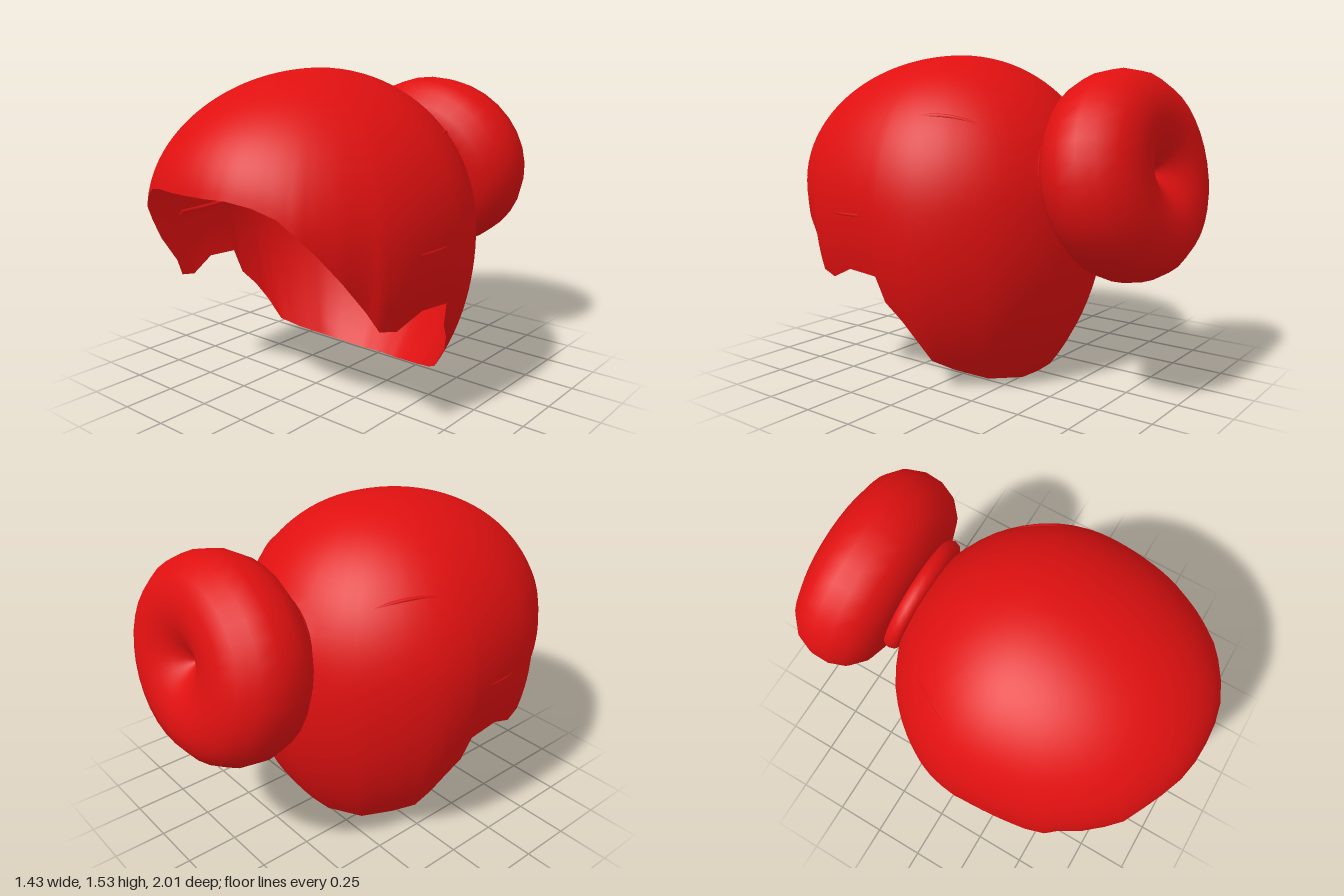
import * as THREE from 'three';

const V = (x, y, z) => new THREE.Vector3(x, y, z);
const center = V(0, 0.85, 0.2);
const UP = V(0, 1, 0);

// Half of the hem, from the middle of the fringe round the left side to the nape
const hemHalf = [
  [0, 1.06, 1.0], [0.1, 1.06, 0.995], [0.2, 1.06, 0.975], [0.3, 1.04, 0.935], [0.39, 1.0, 0.89],
  [0.46, 0.93, 0.85], [0.51, 0.85, 0.79], [0.56, 0.74, 0.71], [0.59, 0.6, 0.6], [0.62, 0.51, 0.55],
  [0.64, 0.49, 0.46], [0.67, 0.55, 0.32], [0.68, 0.54, 0.15], [0.65, 0.42, 0.12],
  [0.62, 0.34, 0.05], [0.58, 0.25, 0.0], [0.51, 0.14, -0.03], [0.43, 0.09, -0.1],
  [0.31, 0.035, -0.2], [0.12, 0.0, -0.26], [0, 0, -0.27],
].map(p => V(...p));

// Distance from the centre to the skull form in a direction
function skullRadius(d) {
  return 1 / Math.hypot(d.x / 0.708, d.y / (d.y > 0 ? 0.68 : 0.85), d.z / (d.z > 0 ? 0.89 : 0.692));
}

function onSkull(p, lift) {
  const d = p.clone().sub(center).normalize();
  return d.multiplyScalar(skullRadius(d) * lift).add(center);
}

// Closed hem: subdivided half plus its mirror image
function hemLoop(sub) {
  const half = [];
  for (let i = 0; i < hemHalf.length - 1; i++)
    for (let k = 0; k < sub; k++) half.push(hemHalf[i].clone().lerp(hemHalf[i + 1], k / sub));
  half.push(hemHalf[hemHalf.length - 1]);
  const mirror = half.slice(1, -1).reverse().map(p => V(-p.x, p.y, p.z));
  return half.concat(mirror);
}

// Cap of hair: arcs from the crown down to every hem point
function capGeometry() {
  const hem = hemLoop(3), cols = hem.length, rows = 36;
  const pts = [V(0, center.y + 0.68, center.z)];
  for (let i = 1; i <= rows; i++) {
    const t = i / rows;
    for (const h of hem) {
      const end = h.clone().sub(center), len = end.length();
      end.normalize();
      const axis = UP.clone().cross(end).normalize();
      const d = UP.clone().applyAxisAngle(axis, UP.angleTo(end) * t);
      // the fringe turns under more sharply than the nape
      const turn = 3.5 + 3 * Math.max(0, end.z);
      const fit = 1 + (len / skullRadius(end) - 1) * t ** turn;
      pts.push(d.multiplyScalar(skullRadius(d) * fit).add(center));
    }
  }

  // round opening where the hair gathers into the bun
  const hole = 0.2, holeY = 0.96;
  const inHole = pts.map(p => {
    const r = Math.hypot(p.x, p.y - holeY);
    if (p.z > -0.3 || r > hole) return false;
    if (r > 0) {
      p.x *= hole / r;
      p.y = holeY + (p.y - holeY) * hole / r;
    }
    return true;
  });

  const id = (i, j) => (i === 0 ? 0 : 1 + (i - 1) * cols + (j % cols));
  const index = [];
  for (let i = 0; i < rows; i++)
    for (let j = 0; j < cols; j++) {
      const a = id(i, j), b = id(i + 1, j), c = id(i + 1, j + 1), d = id(i, j + 1);
      if (inHole[a] && inHole[b] && inHole[c] && inHole[d]) continue;
      if (i > 0) index.push(a, b, d);
      index.push(b, c, d);
    }
  const g = new THREE.BufferGeometry().setFromPoints(pts);
  g.setIndex(index);
  g.computeVertexNormals();
  return g;
}

export function createModel() {
  const group = new THREE.Group();
  const red = new THREE.MeshStandardMaterial({ color: 0xe01010, side: THREE.DoubleSide });
  red.name = 'hairRed';
  const add = (name, geometry) => {
    const m = new THREE.Mesh(geometry, red);
    m.name = name;
    group.add(m);
    return m;
  };

  add('hairCap', capGeometry());

  // Fine raised strands swept back toward the bun
  const strands = [
    [[0.6, 0.82, 0.5], [0.68, 0.81, 0.3], [0.7, 0.83, 0.0]],
    [[0.7, 0.9, 0.12], [0.62, 0.94, -0.12], [0.45, 0.95, -0.36]],
    [[0.6, 1.27, 0.05], [0.5, 1.26, -0.12], [0.38, 1.2, -0.3]],
  ];
  for (const side of [1, -1])
    for (const strand of strands) {
      const path = new THREE.CatmullRomCurve3(strand.map(p => V(p[0] * side, p[1], p[2])));
      const pts = path.getPoints(16).map((p, i) => onSkull(p, 0.985 + 0.014 * Math.sin(Math.PI * i / 16)));
      add(side > 0 ? 'leftStrand' : 'rightStrand',
        new THREE.TubeGeometry(new THREE.CatmullRomCurve3(pts), 24, 0.01, 6));
    }

  // Tie round the base of the bun
  const tie = add('hairTie', new THREE.TorusGeometry(0.26, 0.045, 10, 32));
  tie.position.set(0.01, 0.955, -0.495);
  tie.rotation.x = 0.21;
  tie.scale.y = 0.93;

  // Bun: a cushion dimpled to a point on both faces
  const rim = [[0, 0.1], [0.04, 0.13], [0.1, 0.172], [0.18, 0.207], [0.26, 0.22], [0.34, 0.215],
    [0.42, 0.187], [0.488, 0.125], [0.52, 0.045]];
  const profile = rim.map(([r, h]) => new THREE.Vector2(r, -h))
    .concat(rim.slice().reverse().map(([r, h]) => new THREE.Vector2(r, h)));
  const bun = add('bun', new THREE.LatheGeometry(profile, 32));
  bun.position.set(0.01, 0.99, -0.742);
  bun.rotation.x = -1.39;
  bun.scale.z = 0.89;

  return group;
}
